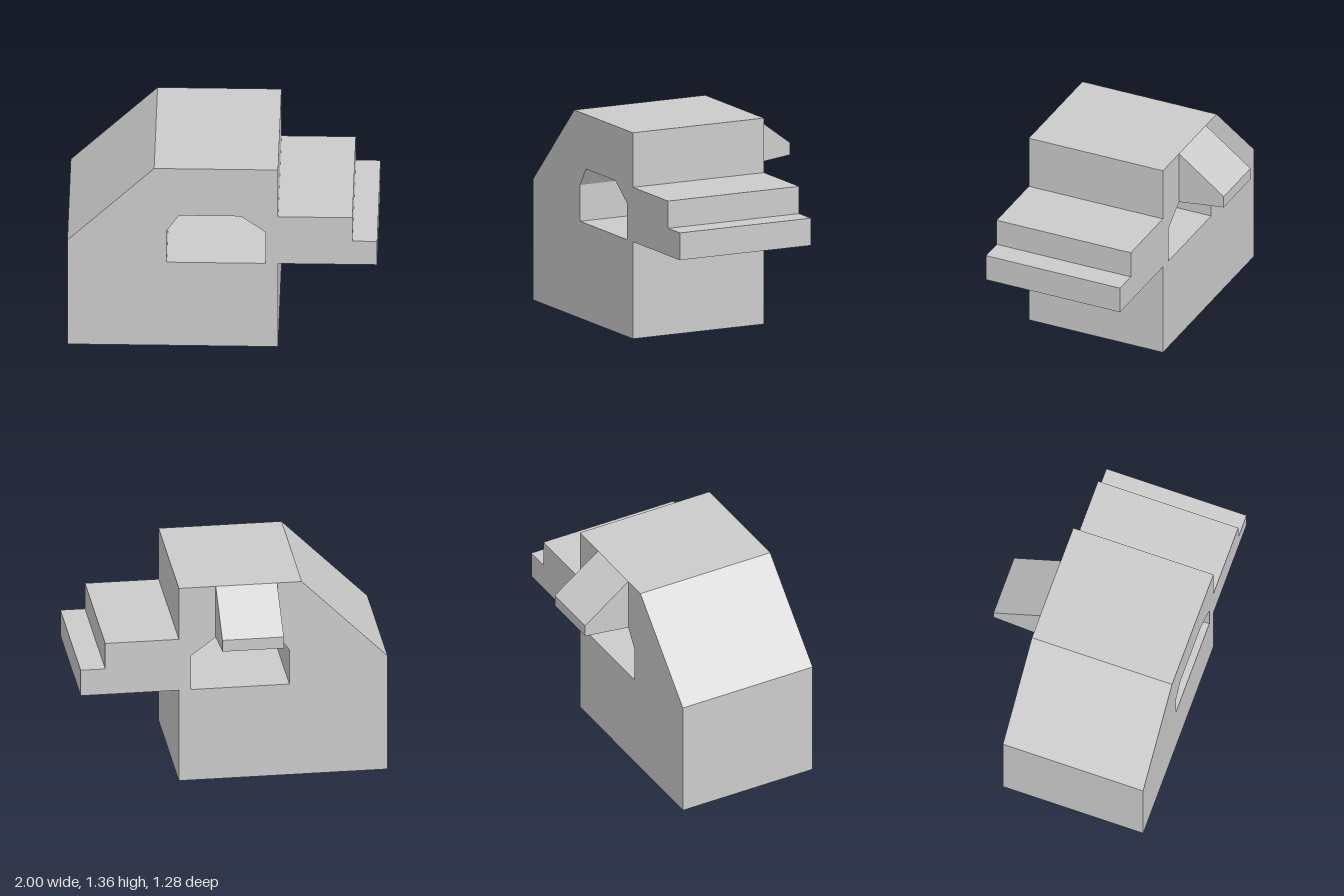
import * as THREE from 'three';

const material = new THREE.MeshStandardMaterial({ color: 0xcccccc, flatShading: true });
const points = (list) => list.map(([x, y]) => new THREE.Vector2(x, y));

// Straight extrusion of a polygon, with optional polygonal openings
function prism(name, outline, depth, openings = []) {
  const shape = new THREE.Shape(points(outline));
  for (const opening of openings) shape.holes.push(new THREE.Path(points(opening)));
  const geometry = new THREE.ExtrudeGeometry(shape, { depth, bevelEnabled: false });
  const mesh = new THREE.Mesh(geometry, material);
  mesh.name = name;
  return mesh;
}

export function createModel() {
  const model = new THREE.Group();
  model.name = 'blockHousing';

  // Sloped body with the stepped side ledge, pierced front to back
  const outline = [
    [-1, 0], [0.36, 0], [0.36, 0.64], [1, 0.64], [1, 0.82], [0.84, 0.82],
    [0.84, 1], [0.36, 1], [0.36, 1.36], [-0.44, 1.36], [-1, 0.8],
  ];
  const window = [
    [-0.36, 0.64], [0.28, 0.64], [0.28, 0.88], [0.12, 1], [-0.28, 1], [-0.36, 0.88],
  ];
  const body = prism('body', outline, 0.96, [window]);
  body.position.z = -0.32;

  // Tapered hood over the rear opening: profile runs backwards, extruded along x
  const hood = prism('rearHood', [[0.32, 1], [0.64, 1.04], [0.64, 1.12], [0.32, 1.36]], 0.4);
  hood.geometry.rotateY(Math.PI / 2);
  hood.position.x = -0.28;

  model.add(body, hood);
  return model;
}
